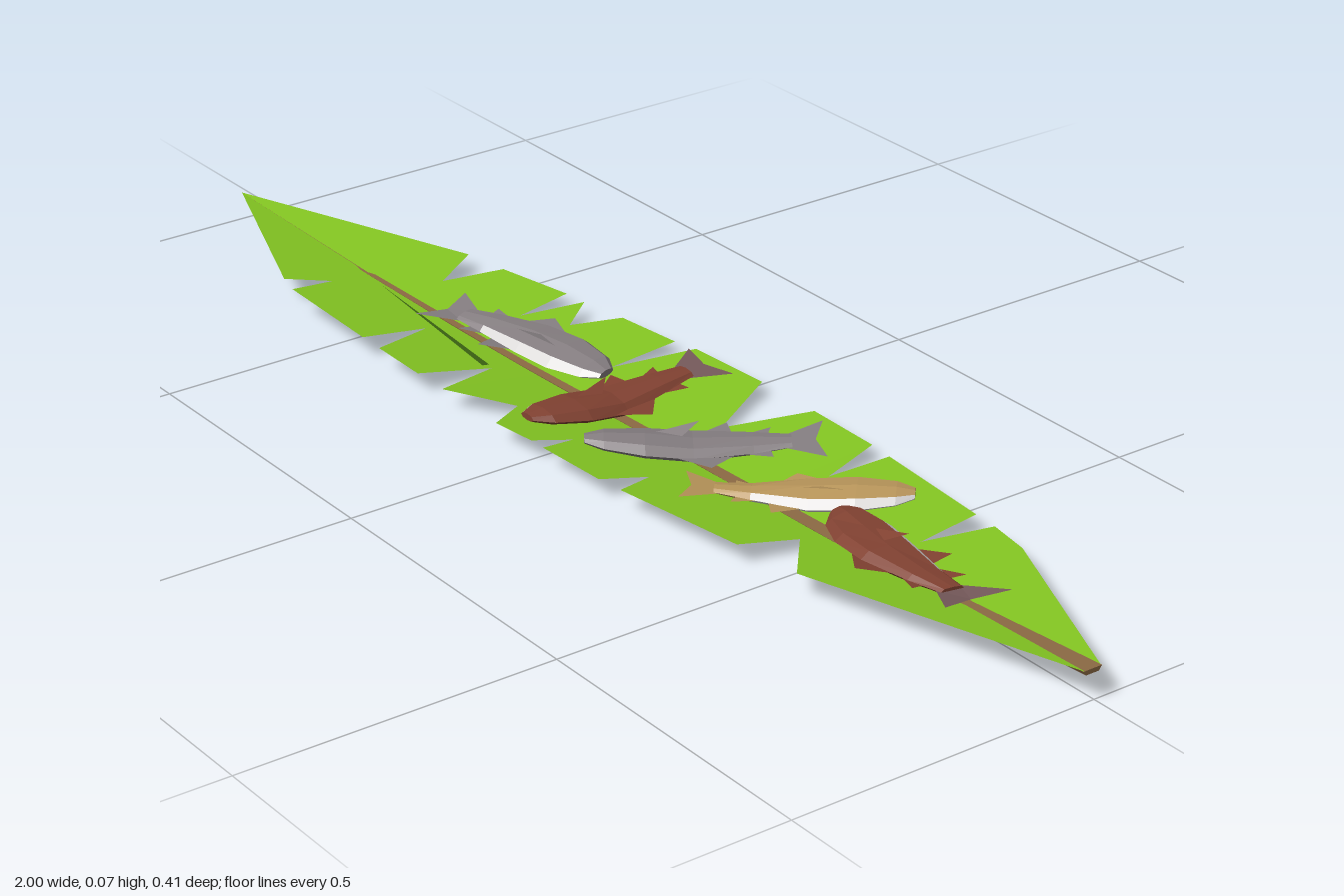
import * as THREE from 'three';

const material = (name, color, side = THREE.FrontSide) => {
  const m = new THREE.MeshStandardMaterial({ color, side, flatShading: true });
  m.name = name;
  return m;
};

// Triangle list to flat-shaded mesh
function meshFrom(name, triangles, mat) {
  const g = new THREE.BufferGeometry();
  g.setAttribute('position', new THREE.Float32BufferAttribute(triangles.flat(2), 3));
  g.computeVertexNormals();
  const mesh = new THREE.Mesh(g, mat);
  mesh.name = name;
  return mesh;
}
const quad = (a, b, c, d) => [[a, b, c], [a, c, d]];

// Skin between rings, with closed ends; keep picks the faces (-1 is the ends)
function loft(rings, keep = () => true) {
  const out = [], n = rings[0].length;
  for (let i = 0; i < rings.length - 1; i++) {
    for (let k = 0; k < n; k++) {
      const j = (k + 1) % n;
      if (keep(i, k)) out.push(...quad(rings[i][k], rings[i + 1][k], rings[i + 1][j], rings[i][j]));
    }
  }
  if (keep(-1, -1)) {
    const a = rings[0], b = rings.at(-1);
    for (let k = 1; k < n - 1; k++) out.push([a[0], a[k], a[k + 1]], [b[0], b[k + 1], b[k]]);
  }
  return out;
}

// Leaf surface: a shallow V, curling up at both tips
const ribZ = x => 0.005 + 0.06 * Math.max(0, (0.1 - x) / 1.1);
const leafY = (x, z) => {
  const d = z - ribZ(x);
  return 0.005 + 0.041 * x * x + (d > 0 ? 0.145 * d : -0.08 * d);
};
const onLeaf = (x, z, lift = 0) => [x, leafY(x, z) + lift, z];

// Torn leaf edges as x, z pairs from the left tip to the stem
const backEdge = [
  [-1, 0.065], [-0.6, -0.11], [-0.555, -0.03], [-0.525, -0.125], [-0.395, -0.155], [-0.385, -0.06],
  [-0.355, -0.16], [-0.31, -0.1], [-0.275, -0.175], [-0.16, -0.19], [-0.16, -0.07], [-0.12, -0.2],
  [0.03, -0.21], [0.1, -0.08], [0.155, -0.21], [0.295, -0.205], [0.325, -0.1], [0.34, -0.2],
  [0.56, -0.175], [0.565, -0.07], [0.605, -0.17], [0.68, -0.155], [1, -0.01],
];
const frontEdge = [
  [-1, 0.065], [-0.67, 0.19], [-0.64, 0.12], [-0.63, 0.2], [-0.43, 0.2], [-0.43, 0.085],
  [-0.385, 0.2], [-0.28, 0.2], [-0.26, 0.08], [-0.215, 0.2], [-0.12, 0.13], [-0.075, 0.2],
  [0, 0.19], [0.02, 0.13], [0.03, 0.19], [0.16, 0.185], [0.18, 0.11], [0.205, 0.18],
  [0.435, 0.15], [0.455, 0.055], [0.555, 0.14], [1, 0.02],
];

function leafHalf(name, edge, mat, front) {
  const tris = [];
  for (let i = 0; i < edge.length - 1; i++) {
    const [x0, z0] = edge[i], [x1, z1] = edge[i + 1];
    const q = [onLeaf(x0, ribZ(x0)), onLeaf(x0, z0), onLeaf(x1, z1), onLeaf(x1, ribZ(x1))];
    tris.push(...quad(...(front ? q : q.reverse())));
  }
  return meshFrom(name, tris, mat);
}

// Fish body sections: position along the body, half depth, half thickness
const sections = [
  [0.5, 0.045, 0.018], [0.42, 0.1, 0.036], [0.25, 0.138, 0.05],
  [0.05, 0.13, 0.05], [-0.2, 0.085, 0.034], [-0.36, 0.055, 0.018],
];
// Flat fins as along, across outlines; negative across is the back, positive the belly
const fins = {
  tailFin: [[-0.33, -0.055], [-0.5, -0.16], [-0.46, 0], [-0.5, 0.16], [-0.33, 0.055]],
  dorsalFin: [[0.16, -0.11], [-0.02, -0.205], [-0.12, -0.09]],
  rearDorsalFin: [[-0.15, -0.08], [-0.28, -0.125], [-0.27, -0.06]],
  pelvicFin: [[0.04, 0.11], [-0.1, 0.205], [-0.12, 0.09]],
  analFin: [[-0.15, 0.08], [-0.28, 0.135], [-0.26, 0.06]],
};

// A fish on its side, lying along the leaf surface
function fish(name, { tail, head, bend = 0, skin, tailSkin, belly }) {
  const group = new THREE.Group();
  group.name = name;
  const dx = head[0] - tail[0], dz = head[1] - tail[1], L = Math.hypot(dx, dz);
  const at = (u, v, w) => {
    const side = w + bend * (1 - 4 * u * u);
    const x = (head[0] + tail[0]) / 2 + u * dx - side * dz;
    const z = (head[1] + tail[1]) / 2 + u * dz + side * dx;
    return onLeaf(x, z, 0.016 + v * L);
  };
  const rings = sections.map(([u, w, t]) => Array.from({ length: 8 }, (_, k) => {
    const a = k * Math.PI / 4, c = Math.cos(a);
    return at(u, (c > 0 ? 1 : 0.75) * c * t, Math.sin(a) * w);
  }));
  const isBelly = (i, k) => i >= 0 && i < 4 && (k === 1 || k === 2);
  group.add(meshFrom('fishBody', loft(rings, (i, k) => !isBelly(i, k)), skin));
  group.add(meshFrom('fishBelly', loft(rings, isBelly), belly));
  for (const [finName, pts] of Object.entries(fins)) {
    const isTail = finName === 'tailFin', p = pts.map(([u, w]) => at(u, 0, w));
    const hub = isTail ? 2 : 0, tris = [];
    for (let k = 1; k < p.length - 1; k++) {
      tris.push([p[hub], p[(hub + k + 1) % p.length], p[(hub + k) % p.length]]);
    }
    group.add(meshFrom(finName, tris, isTail ? tailSkin : skin));
  }
  // Upper pectoral fin stands off the flank behind the head
  group.add(meshFrom('pectoralFin', [[
    at(0.22, 0.042, 0.03), at(0.02, 0.085, 0.08), at(0.1, 0.046, 0),
  ]], skin));
  return group;
}

export function createModel() {
  const D = THREE.DoubleSide;
  const green = material('leafGreen', 0x84c622, D);
  const darkGreen = material('creaseGreen', 0x3c6412, D);
  const brown = material('ribBrown', 0x8c6a44);
  const grey = material('fishGrey', 0x857e81, D);
  const red = material('fishRed', 0x824232, D);
  const redTail = material('redFishTail', 0x75595a, D);
  const tan = material('fishTan', 0xb8955a, D);
  const belly = material('bellyWhite', 0xd8d6d5, D);

  const model = new THREE.Group();
  model.name = 'fishOnLeaf';
  model.add(leafHalf('leafBack', backEdge, green, false), leafHalf('leafFront', frontEdge, green, true));

  // Tapering midrib, sinking below the leaf fold towards the tip
  const ribRings = [1, 0.75, 0.5, 0.25, 0, -0.25, -0.5, -0.75, -0.98].map(x => {
    const h = 0.002 + 0.007 * (x + 1), z = ribZ(x), c = leafY(x, z), top = c + (x < -0.6 ? -0.001 : 0.002);
    return [[x, top, z - h], [x, top, z + h], [x, c - 0.005, z + h * 0.7], [x, c - 0.005, z - h * 0.7]];
  });
  model.add(meshFrom('midrib', loft(ribRings), brown));

  // Narrow crease along the torn front side
  model.add(meshFrom('leafCrease', [[
    onLeaf(-0.6, 0.056, 0.002), onLeaf(-0.27, 0.09, 0.002), onLeaf(-0.27, 0.078, 0.002),
  ]], darkGreen));

  const greySkin = { skin: grey, tailSkin: grey, belly };
  const redSkin = { skin: red, tailSkin: redTail, belly };
  const tanSkin = { skin: tan, tailSkin: tan, belly };
  model.add(
    fish('greyFishLeft', { tail: [-0.465, 0.035], head: [-0.125, -0.035], bend: -0.03, ...greySkin }),
    fish('redFishMiddle', { tail: [-0.05, -0.175], head: [-0.045, 0.165], ...redSkin }),
    fish('greyFishMiddle', { tail: [0.255, -0.15], head: [0.055, 0.135], ...greySkin }),
    fish('tanFish', { tail: [0.25, 0.105], head: [0.475, -0.135], ...tanSkin }),
    fish('redFishRight', { tail: [0.775, 0.005], head: [0.435, -0.03], bend: -0.06, ...redSkin }),
  );
  return model;
}
